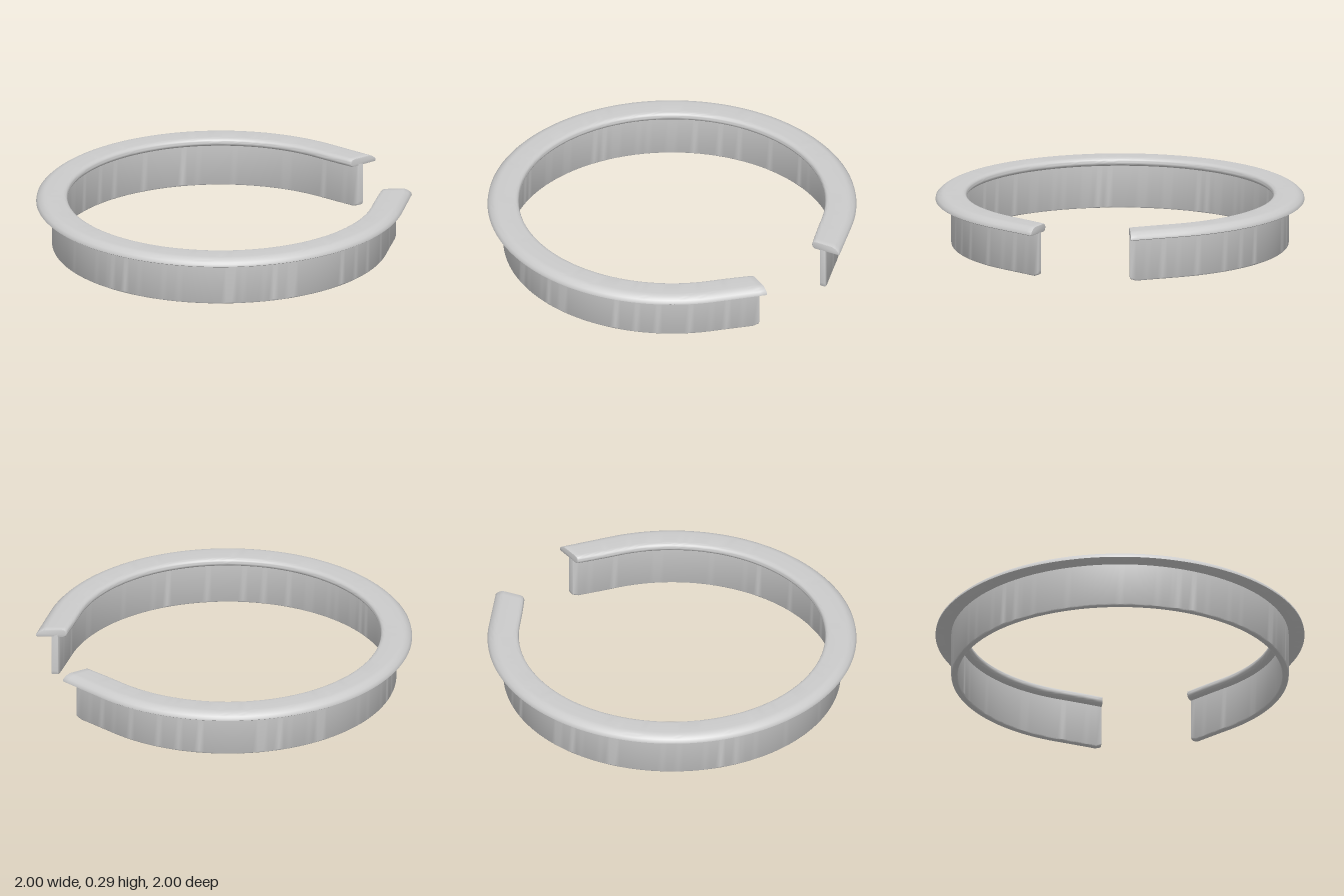
import * as THREE from 'three';
import { toCreasedNormals } from 'three/addons/utils/BufferGeometryUtils.js';

const rad = THREE.MathUtils.degToRad;
const START = rad(-29.6), END = rad(299.6); // the gap lies at the back left
const BEVEL = 0.004;

// Sweeps a (radius, height) profile round the split ring, with the ends running off tangentially
function sweepRing(shape, cornerRadius = 0) {
  const geo = new THREE.ExtrudeGeometry(shape, {
    depth: END - START - 2 * BEVEL, steps: 180, curveSegments: 6,
    bevelEnabled: true, bevelThickness: BEVEL, bevelSize: BEVEL, bevelOffset: -BEVEL, bevelSegments: 2,
  });
  const p = geo.attributes.position;
  for (let i = 0; i < p.count; i++) {
    const a = START + BEVEL + p.getZ(i);
    const past = Math.max(-a, a - rad(270)); // how far beyond the axis, towards the gap
    const flare = 1 / Math.cos(Math.max(0, past - rad(13.5))) - 1;
    const r = p.getX(i) + flare;
    let y = p.getY(i);
    // round the lower corner at each free end
    const d = Math.min(a - START, END - a);
    if (d < cornerRadius && y < 0.05) {
      y += cornerRadius - Math.sqrt(cornerRadius ** 2 - (cornerRadius - Math.max(d, 0)) ** 2);
    }
    p.setXYZ(i, r * Math.cos(a), y, r * Math.sin(a));
  }
  return toCreasedNormals(geo, rad(40));
}

export function createModel() {
  const group = new THREE.Group();
  group.name = 'splitRing';
  const material = new THREE.MeshStandardMaterial({ color: 0xcccccc });
  const add = (name, geo) => {
    const mesh = new THREE.Mesh(geo, material);
    mesh.name = name;
    group.add(mesh);
  };

  // Flat rim with rounded inner and sloping outer edge
  const rim = new THREE.Shape();
  rim.moveTo(0.83, 0.262);
  rim.quadraticCurveTo(0.832, 0.24, 0.855, 0.24);
  rim.lineTo(0.994, 0.243);
  rim.lineTo(1.0, 0.247);
  rim.lineTo(0.998, 0.258);
  rim.quadraticCurveTo(0.975, 0.286, 0.945, 0.286);
  rim.lineTo(0.86, 0.286);
  rim.quadraticCurveTo(0.832, 0.286, 0.83, 0.262);
  add('rim', sweepRing(rim));

  // Thin upright wall with a softened lower edge
  const wall = new THREE.Shape();
  wall.moveTo(0.878, 0.26);
  wall.lineTo(0.878, 0.01);
  wall.quadraticCurveTo(0.878, 0, 0.888, 0);
  wall.lineTo(0.905, 0);
  wall.quadraticCurveTo(0.915, 0, 0.915, 0.01);
  wall.lineTo(0.915, 0.26);
  wall.closePath();
  add('wall', sweepRing(wall, 0.025));

  return group;
}
